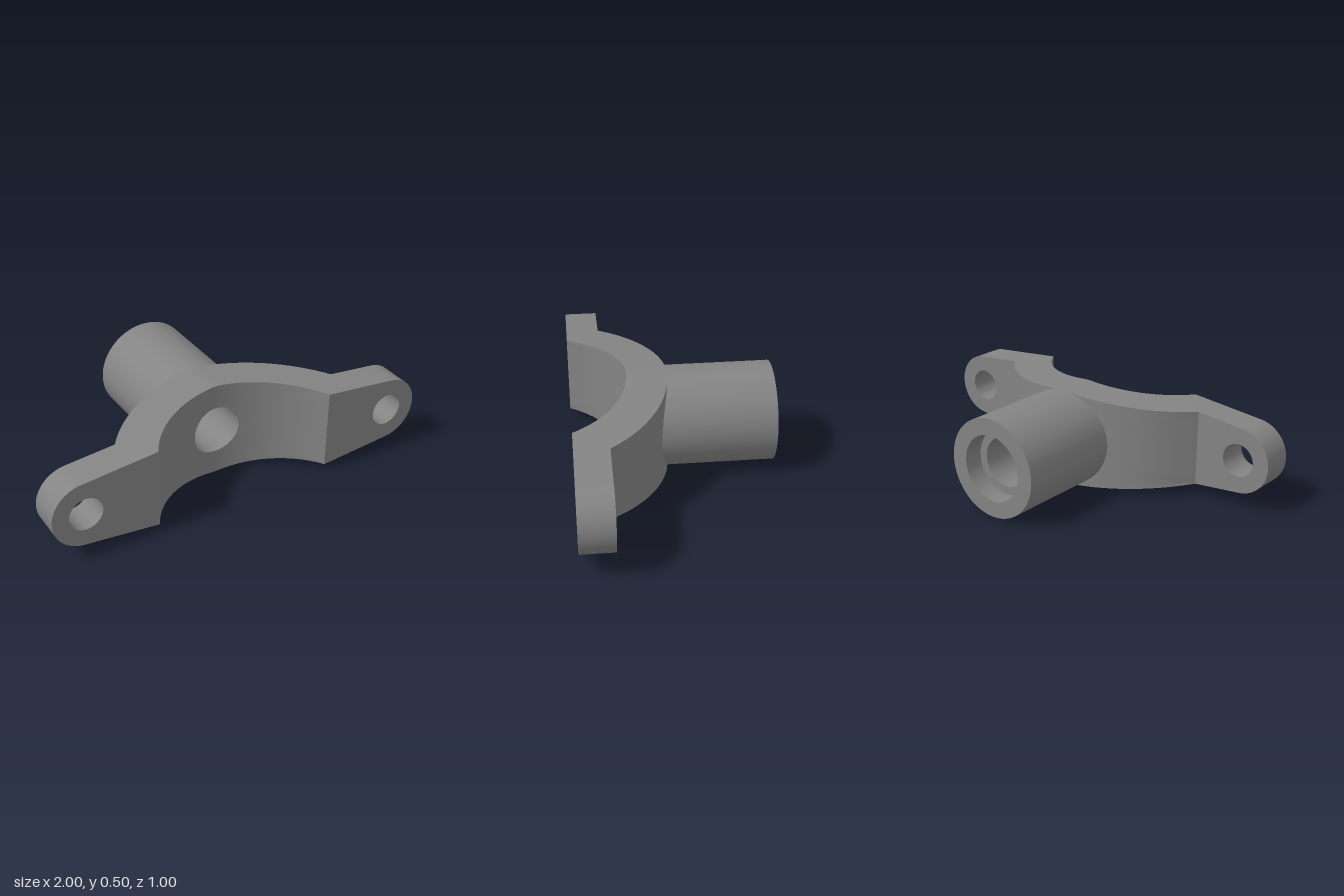
import * as THREE from 'three';
import { toCreasedNormals } from 'three/addons/utils/BufferGeometryUtils.js';

const AXIS_Z = 0.755, R_IN = 0.533, R_OUT = 0.733;   // concentric saddle arcs
const Z_FRONT = 0.5, Z_EAR = 0.333;                  // ear faces
const BORE = 0.125, TUBE = 0.25, EAR_X = 0.8333, EAR_R = 0.1667;

const arcZ = (r, x) => AXIS_Z - Math.sqrt(r * r - x * x);
const arcX = (r, z) => Math.sqrt(r * r - (AXIS_Z - z) ** 2);
const X_FRONT = arcX(R_IN, Z_FRONT), X_BACK = arcX(R_OUT, Z_EAR);

// Half height of the outline: central circle joined to the ear circles by tangents
const PHI = Math.asin((TUBE - EAR_R) / EAR_X);
const halfHeight = (x) => Math.abs(x) < TUBE * Math.sin(PHI)
  ? Math.sqrt(TUBE * TUBE - x * x)
  : TUBE / Math.cos(PHI) - Math.abs(x) * Math.tan(PHI);

const material = new THREE.MeshStandardMaterial({ color: 0x848484 });

function addMesh(group, name, geometry) {
  const mesh = new THREE.Mesh(toCreasedNormals(geometry, 0.5), material);
  mesh.name = name;
  group.add(mesh);
  return mesh;
}

// Curved saddle: sections run from the bore, over the rim, back to the bore
function saddleGeometry() {
  const loop = [];
  const edge = (n, fn) => { for (let i = 0; i < n; i++) loop.push(fn(1 - 2 * i / n)); };
  edge(64, (k) => [k, 1]);
  edge(10, (k) => [-1, k]);
  edge(64, (k) => [-k, -1]);
  edge(10, (k) => [1, -k]);

  const steps = 8, row = 2 * (steps + 1), positions = [], index = [];
  loop.forEach(([s, t], i) => {
    const rim = (X) => [X * s, t * halfHeight(X * s)];
    const front = rim(X_FRONT), back = rim(X_BACK);
    const angle = Math.atan2(front[1], front[0]);
    const bore = [BORE * Math.cos(angle), BORE * Math.sin(angle)];
    const put = (end, k, r) => {
      const x = THREE.MathUtils.lerp(bore[0], end[0], k);
      positions.push(x, THREE.MathUtils.lerp(bore[1], end[1], k), arcZ(r, x));
    };
    for (let j = 0; j <= steps; j++) put(front, j / steps, R_IN);
    for (let j = steps; j >= 0; j--) put(back, j / steps, R_OUT);
    const next = (i + 1) % loop.length;
    for (let j = 0; j < row - 1; j++) {
      const a = i * row + j, d = next * row + j;
      index.push(a, a + 1, d + 1, a, d + 1, d);
    }
  });
  const geometry = new THREE.BufferGeometry();
  geometry.setAttribute('position', new THREE.Float32BufferAttribute(positions, 3));
  geometry.setIndex(index);
  return geometry;
}

// Flat ear with a bolt hole; its inner end slants to meet the saddle
function earGeometry() {
  const h = halfHeight(X_BACK), a = Math.PI / 2 - PHI;
  const shape = new THREE.Shape();
  shape.moveTo(X_BACK, h);
  shape.lineTo(X_BACK, -h);
  shape.absarc(EAR_X, 0, EAR_R, -a, a, false);
  shape.closePath();
  const hole = new THREE.Path();
  hole.absarc(EAR_X, 0, EAR_R / 2, 0, Math.PI * 2, true);
  shape.holes.push(hole);
  const geometry = new THREE.ExtrudeGeometry(shape, {
    depth: Z_FRONT - Z_EAR, bevelEnabled: false, curveSegments: 24,
  });
  geometry.translate(0, 0, Z_EAR);
  const p = geometry.attributes.position;
  for (let i = 0; i < p.count; i++) {
    if (p.getX(i) < X_BACK + 1e-3 && p.getZ(i) > 0.4) {
      p.setXY(i, X_FRONT, Math.sign(p.getY(i)) * halfHeight(X_FRONT));
    }
  }
  return geometry;
}

// Counterbored tube whose inner ends follow the saddle arcs
function tubeGeometry() {
  const profile = [
    [BORE, 0.1], [BORE, -0.4], [0.167, -0.4], [0.167, -0.5], [TUBE, -0.5], [TUBE, 0.1],
  ].map(([r, z]) => new THREE.Vector2(r, z));
  const geometry = new THREE.LatheGeometry(profile, 64);
  geometry.rotateX(Math.PI / 2);
  const p = geometry.attributes.position;
  for (let i = 0; i < p.count; i++) {
    if (p.getZ(i) < 0.05) continue;
    const x = p.getX(i), inner = Math.hypot(x, p.getY(i)) < 0.2;
    p.setZ(i, inner ? arcZ(R_IN, x) : arcZ(R_OUT, x) + 0.005);
  }
  return geometry;
}

export function createModel() {
  const group = new THREE.Group();
  group.name = 'saddleBracket';
  const body = new THREE.Group();
  body.name = 'body';
  body.position.y = TUBE;
  group.add(body);

  addMesh(body, 'saddle', saddleGeometry());
  addMesh(body, 'tube', tubeGeometry());
  addMesh(body, 'leftEar', earGeometry());
  addMesh(body, 'rightEar', earGeometry()).rotation.z = Math.PI;
  return group;
}
